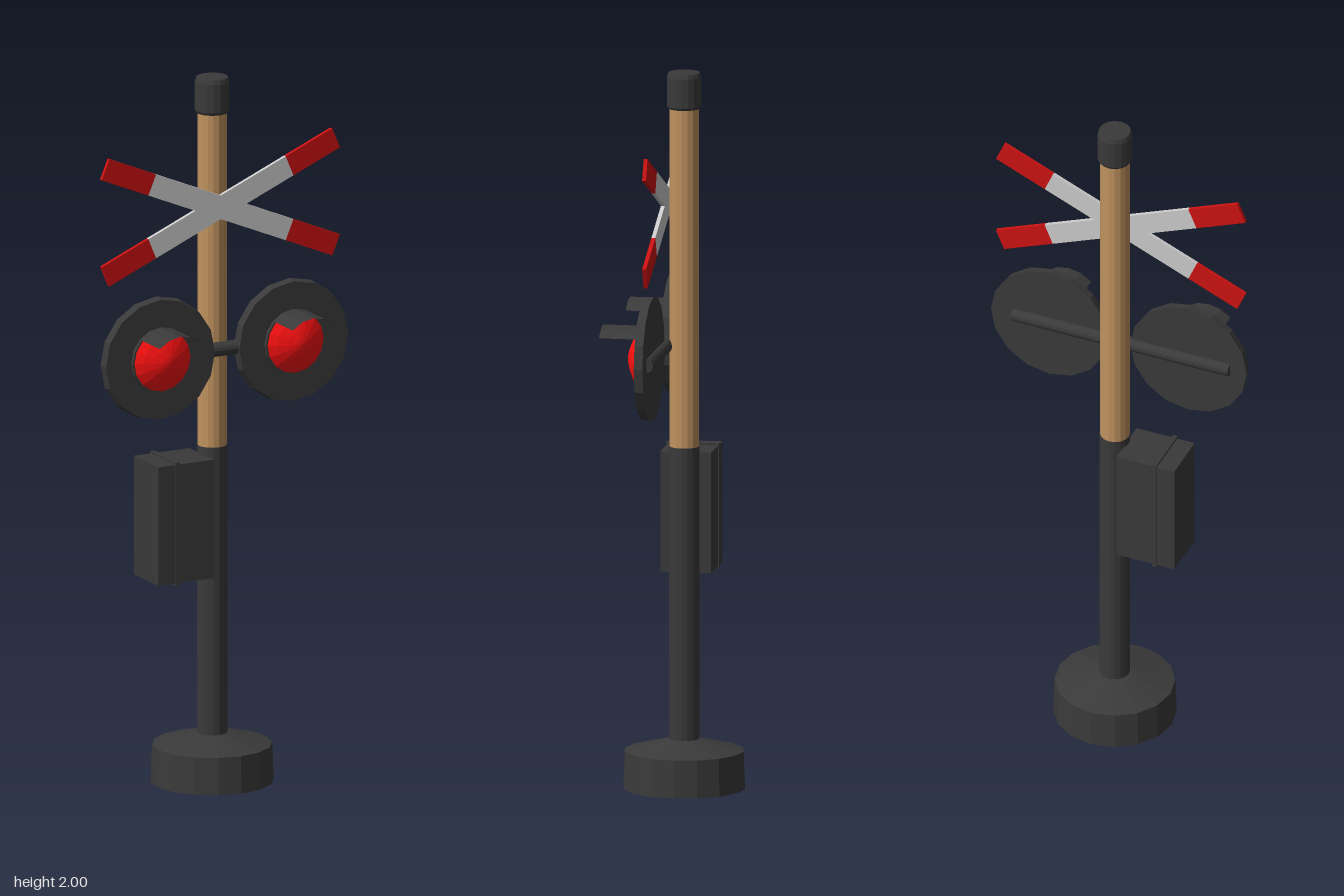
import * as THREE from 'three';

const SIDES = 16;
const mat = (color, side = THREE.FrontSide) =>
  new THREE.MeshStandardMaterial({ color, flatShading: true, side });

export function createModel() {
  const model = new THREE.Group();
  const dark = mat(0x3a3a3a), darkThin = mat(0x3a3a3a, THREE.DoubleSide);
  const wood = mat(0xc0925f), grey = mat(0xcccccc);
  const red = mat(0xcc1111), lensRed = mat(0xff1111);

  const add = (parent, name, geometry, material, x = 0, y = 0, z = 0) => {
    const mesh = new THREE.Mesh(geometry, material);
    mesh.name = name;
    mesh.position.set(x, y, z);
    parent.add(mesh);
    return mesh;
  };
  const lathe = (points) =>
    new THREE.LatheGeometry(points.map(([r, y]) => new THREE.Vector2(r, y)), SIDES);
  // Cylinder lying along z, from back to front
  const disc = (rFront, rBack, back, front) =>
    new THREE.CylinderGeometry(rFront, rBack, front - back, SIDES)
      .rotateX(Math.PI / 2).translate(0, 0, (back + front) / 2);

  // Post: foot, painted lower half, wooden upper half, cap
  const post = new THREE.Group();
  post.name = 'post';
  post.position.set(-0.008, 0, -0.009);
  model.add(post);
  add(post, 'foot', lathe([[0, 0], [0.17, 0], [0.166, 0.105], [0.045, 0.137], [0, 0.137]]), dark);
  add(post, 'lowerPole', new THREE.CylinderGeometry(0.042, 0.042, 0.835, SIDES), dark, 0, 0.5375);
  add(post, 'upperPole', new THREE.CylinderGeometry(0.041, 0.041, 0.96, SIDES), wood, 0, 1.435);
  add(post, 'cap', lathe([[0, 1.9], [0.044, 1.9], [0.048, 1.907], [0.048, 1.988],
    [0.044, 2], [0, 2]]), dark);

  // Crossed warning boards: one grey X with four red tips
  const cross = new THREE.Group();
  cross.name = 'crossedBoards';
  cross.position.set(-0.008, 1.64, 0.031);
  model.add(cross);
  const angle = 0.4, halfWidth = 0.031, greyEnd = 0.233, tipEnd = 0.391, thick = 0.011;
  const c = Math.cos(angle), s = Math.sin(angle);
  const outline = [
    [greyEnd * c + halfWidth * s, greyEnd * s - halfWidth * c],
    [greyEnd * c - halfWidth * s, greyEnd * s + halfWidth * c],
    [0, halfWidth / c],
    [-greyEnd * c + halfWidth * s, greyEnd * s + halfWidth * c],
    [-greyEnd * c - halfWidth * s, greyEnd * s - halfWidth * c],
    [-halfWidth / s, 0],
  ];
  const xShape = new THREE.Shape(
    [...outline, ...outline.map(([x, y]) => [-x, -y])].map(([x, y]) => new THREE.Vector2(x, y)));
  add(cross, 'boardCentre',
    new THREE.ExtrudeGeometry(xShape, { depth: thick, bevelEnabled: false }), grey);
  for (const a of [angle, Math.PI - angle, Math.PI + angle, -angle]) {
    const mid = (greyEnd + tipEnd) / 2;
    add(cross, 'boardTip', new THREE.BoxGeometry(tipEnd - greyEnd, halfWidth * 2, thick), red,
      mid * Math.cos(a), mid * Math.sin(a), thick / 2).rotation.z = a;
  }

  // Signal lamps on a horizontal rod
  const lampY = 1.237;
  add(model, 'lampRod', new THREE.CylinderGeometry(0.02, 0.02, 0.648, SIDES).rotateZ(Math.PI / 2),
    dark, -0.008, lampY, 0.04);
  for (const side of [-1, 1]) {
    const lamp = new THREE.Group();
    lamp.name = side > 0 ? 'leftLamp' : 'rightLamp';
    lamp.position.set(side * 0.208, lampY, 0);
    model.add(lamp);
    add(lamp, 'backingDisc', disc(0.17, 0.174, 0.038, 0.063), dark);
    add(lamp, 'lensRing', disc(0.092, 0.092, 0.06, 0.074), dark);
    add(lamp, 'lens', lathe([[0.089, 0.073], [0.066, 0.088], [0.038, 0.1], [0.015, 0.107],
      [0, 0.109]]).rotateX(Math.PI / 2), lensRed);
    // Arched hood over the top quarter of the lens
    const hood = new THREE.CylinderGeometry(0.092, 0.092, 0.117, 4, 1, true,
      Math.PI * 0.75, Math.PI / 2).rotateX(Math.PI / 2);
    add(lamp, 'hood', hood, darkThin, 0, 0, 0.1205);
  }

  // Control cabinet with a raised seam
  const cabinet = new THREE.Group();
  cabinet.name = 'controlCabinet';
  cabinet.position.set(0, 0.763, -0.007);
  model.add(cabinet);
  add(cabinet, 'cabinetBox', new THREE.BoxGeometry(0.173, 0.337, 0.142), dark, -0.1285);
  add(cabinet, 'cabinetSeam', new THREE.BoxGeometry(0.014, 0.35, 0.148), dark, -0.156);

  return model;
}
